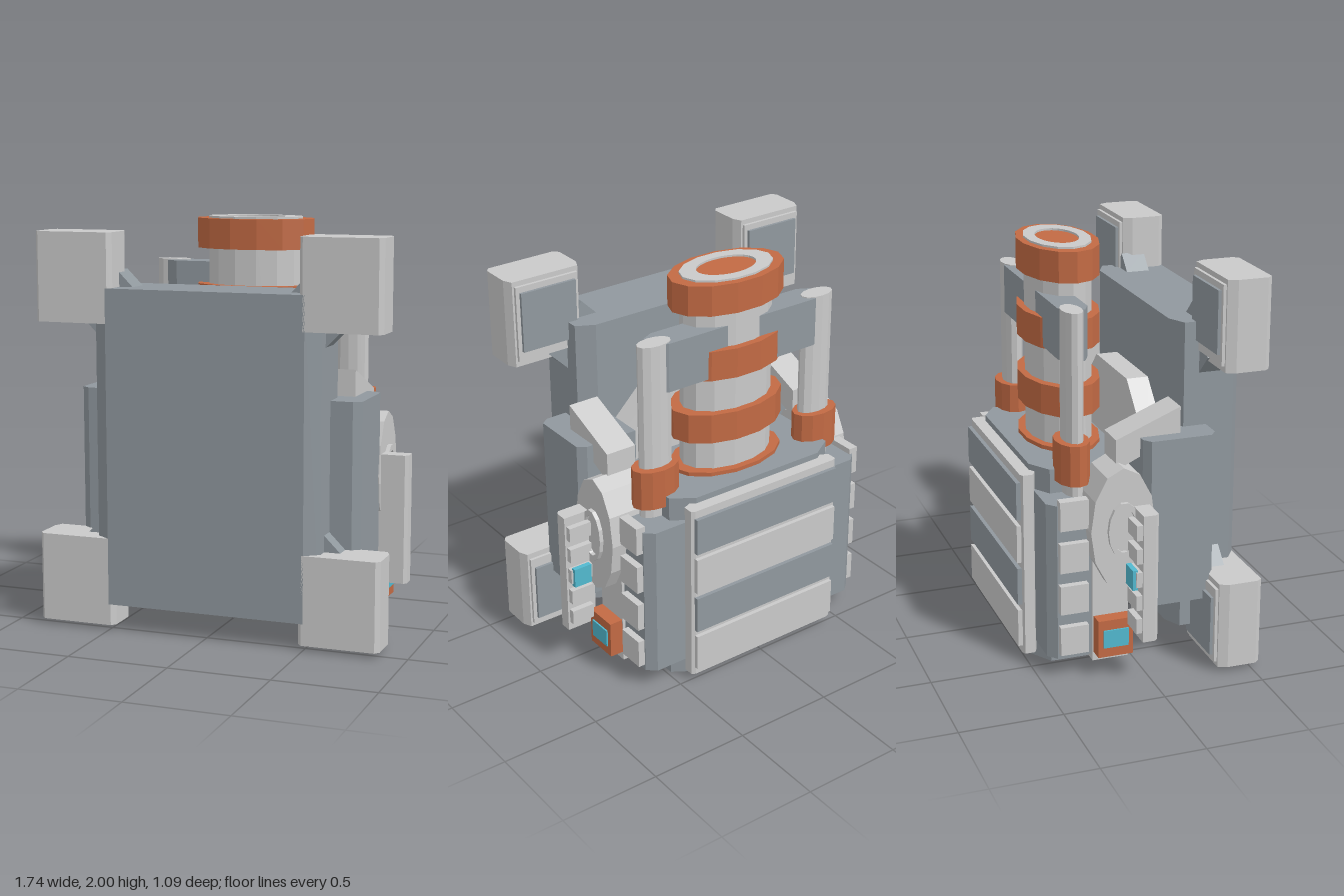
import * as THREE from 'three';

export function createModel() {
  const model = new THREE.Group();
  const material = (name, color) => {
    const m = new THREE.MeshStandardMaterial({ color });
    m.name = name;
    return m;
  };
  const dark = material('slate grey', 0x90989e);
  const light = material('pale grey', 0xcacaca);
  const orange = material('burnt orange', 0xc26a44);
  const teal = material('teal glow', 0x52b9cf);

  const add = (name, geometry, mat) => {
    const mesh = new THREE.Mesh(geometry, mat);
    mesh.name = name;
    model.add(mesh);
    return mesh;
  };
  const extrude = (shape, depth) =>
    new THREE.ExtrudeGeometry(shape, { depth, bevelEnabled: false });
  const shapeOf = (pts) => new THREE.Shape(pts.map(([a, b]) => new THREE.Vector2(a, b)));

  // Box given by its limits on each axis; s mirrors it across x
  const box = (name, mat, [x0, x1], [y0, y1], [z0, z1], s = 1) => {
    const g = new THREE.BoxGeometry(x1 - x0, y1 - y0, z1 - z0);
    g.translate((s * (x0 + x1)) / 2, (y0 + y1) / 2, (z0 + z1) / 2);
    return add(name, g, mat);
  };
  // Upright prism from a plan outline of [x, z] points
  const plan = (name, mat, pts, y0, y1, s = 1) => {
    const g = extrude(shapeOf(pts.map(([x, z]) => [s * x, -z])), y1 - y0);
    return add(name, g.rotateX(-Math.PI / 2).translate(0, y0, 0), mat);
  };
  // Symmetric plan outline from its +x half
  const both = (half) => [...half, ...half.map(([x, z]) => [-x, z]).reverse()];
  // Faceted ellipse outline
  const ellipse = (a, b, n, turn = 0) => Array.from({ length: n }, (_, i) => {
    const t = ((i + turn) / n) * Math.PI * 2;
    return [a * Math.cos(t), b * Math.sin(t)];
  });
  // Upright elliptical column, optionally hollow
  const column = (name, mat, [x, z], [a, b], y0, y1, n, hole) => {
    const shape = shapeOf(ellipse(a, b, n));
    if (hole) shape.holes.push(shapeOf(ellipse(hole[0], hole[1], 24)));
    const g = extrude(shape, y1 - y0).rotateX(-Math.PI / 2);
    return add(name, g.translate(x, y0, z), mat);
  };
  // Sideways elliptical disc, optionally hollow
  const sideDisc = (name, mat, s, [b, a], [x0, x1], n, hole) => {
    const shape = shapeOf(ellipse(a, b, n));
    if (hole) shape.holes.push(shapeOf(ellipse(hole[1], hole[0], n)));
    const g = extrude(shape, x1 - x0).rotateY(Math.PI / 2);
    return add(name, g.translate(s > 0 ? x0 : -x1, 0.755, -0.11), mat);
  };

  // Front slab with the octagonal mount behind it
  plan('frontSlab', dark, both([
    [0.5, 0.545], [0.57, 0.495], [0.57, 0.245], [0.48, 0.2],
  ]), 0.13, 1.68);
  const mount = extrude(shapeOf(ellipse(0.57, 0.57, 8, 0.5)), 0.11);
  add('slabMount', mount.translate(0, 0.79, 0.09), light);

  // Central hull
  plan('hull', dark, both([
    [0.38, 0.02], [0.48, -0.03], [0.48, -0.39], [0.37, -0.46],
  ]), 0, 1.0);

  // Rear panel with four slats
  plan('rearPanel', light, both([
    [0.40, -0.44], [0.44, -0.46], [0.44, -0.51], [0.42, -0.52],
  ]), 0.04, 0.97);
  for (let i = 0; i < 4; i++) {
    const y = 0.08 + i * 0.22;
    box('rearSlat', i % 2 ? dark : light, [-0.425, 0.425], [y, y + 0.19], [-0.54, -0.515]);
  }

  // Central barrel with an open mouth and four bands
  const centre = [0, -0.19];
  column('barrel', light, centre, [0.25, 0.155], 0.98, 1.92, 14);
  column('barrelMouth', light, centre, [0.25, 0.155], 1.92, 2.0, 14, [0.16, 0.1]);
  column('barrelCore', teal, centre, [0.16, 0.1], 1.92, 1.925, 24);
  for (const y of [0.87, 1.18, 1.51, 1.84]) {
    column('barrelBand', orange, centre, [0.31, 0.19], y, y + 0.15, 14);
  }
  // Yoke joining the barrel to the pistons
  plan('yoke', dark, both([
    [0.43, -0.185], [0.49, -0.215], [0.49, -0.3], [0.43, -0.33],
  ]), 1.52, 1.765);

  for (const s of [1, -1]) {
    // Corner pads with rear plates and diagonal struts, top and bottom
    for (const top of [true, false]) {
      const flip = (y) => (top ? y : 1.97 - y);
      const span = (a, b) => [Math.min(flip(a), flip(b)), Math.max(flip(a), flip(b))];
      plan('cornerPad', light, [
        [0.49, 0.545], [0.85, 0.545], [0.87, 0.52], [0.87, 0.375],
        [0.85, 0.33], [0.49, 0.33], [0.47, 0.375], [0.47, 0.52],
      ], ...span(1.51, 1.945), s);
      box('padBacking', light, [0.5, 0.84], span(1.54, 1.92), [0.315, 0.335], s);
      box('padPlate', dark, [0.52, 0.82], span(1.59, 1.89), [0.3, 0.32], s);
      const strut = shapeOf([[0.4, 1.68], [0.48, 1.76], [0.67, 1.53], [0.57, 1.43]]
        .map(([x, y]) => [s * x, flip(y)]));
      add('padStrut', extrude(strut, 0.12).translate(0, 0, 0.32), dark);
    }

    // Side armour block
    plan('sideArmour', dark, [
      [0.4, 0.0], [0.68, 0.0], [0.72, 0.03], [0.72, 0.33], [0.68, 0.36], [0.4, 0.36],
    ], 0.335, 1.17, s);

    // Sloping arm from the wheel up to the slab
    const arm = extrude(shapeOf([[-0.2, 1.3], [0.12, 1.17], [0.12, 1.02], [-0.2, 1.17]]), 0.16);
    add('slopingArm', arm.rotateY(Math.PI / 2).translate(s > 0 ? 0.485 : -0.645, 0, 0), light);

    // Side wheel with raised hub ring
    sideDisc('sideWheel', light, s, [0.305, 0.16], [0.5, 0.725], 12);
    sideDisc('hubRing', light, s, [0.14, 0.08], [0.72, 0.745], 14, [0.11, 0.06]);

    // Side bay with orange lamp housing
    box('sideBay', light, [0.44, 0.66], [0.065, 0.9], [-0.24, -0.06], s);
    box('lampHousing', orange, [0.6, 0.73], [0.11, 0.3], [-0.235, -0.06], s);
    box('lamp', teal, [0.73, 0.738], [0.16, 0.25], [-0.21, -0.085], s);

    // Rear side pod with four blocks
    plan('sidePod', dark, [
      [0.4, -0.23], [0.645, -0.23], [0.645, -0.41], [0.6, -0.45], [0.4, -0.45],
    ], 0.095, 0.88, s);
    for (let i = 0; i < 4; i++) {
      const y = 0.125 + i * 0.213;
      box('podBlock', light, [0.63, 0.68], [y, y + 0.145], [-0.405, -0.265], s);
    }

    // Outer rail with teeth on its rear face, one carrying a lamp
    plan('outerRail', light, [
      [0.7, 0.0], [0.715, 0.018], [0.845, 0.018], [0.86, 0.0], [0.86, -0.06], [0.7, -0.06],
    ], 0.225, 0.865, s);
    for (let i = 0; i < 5; i++) {
      const y = 0.27 + i * 0.118;
      box('railTooth', light, [0.73, 0.85], [y, y + 0.075], [-0.09, -0.055], s);
    }
    box('railLamp', teal, [0.745, 0.84], [0.49, 0.59], [-0.105, -0.08], s);

    // Piston and collar beside the barrel
    const side = [s * 0.48, -0.28];
    column('piston', light, side, [0.09, 0.05], 0.83, 1.77, 12);
    column('pistonCollar', orange, [s * 0.485, -0.285], [0.125, 0.082], 0.945, 1.145, 12);
  }
  return model;
}
